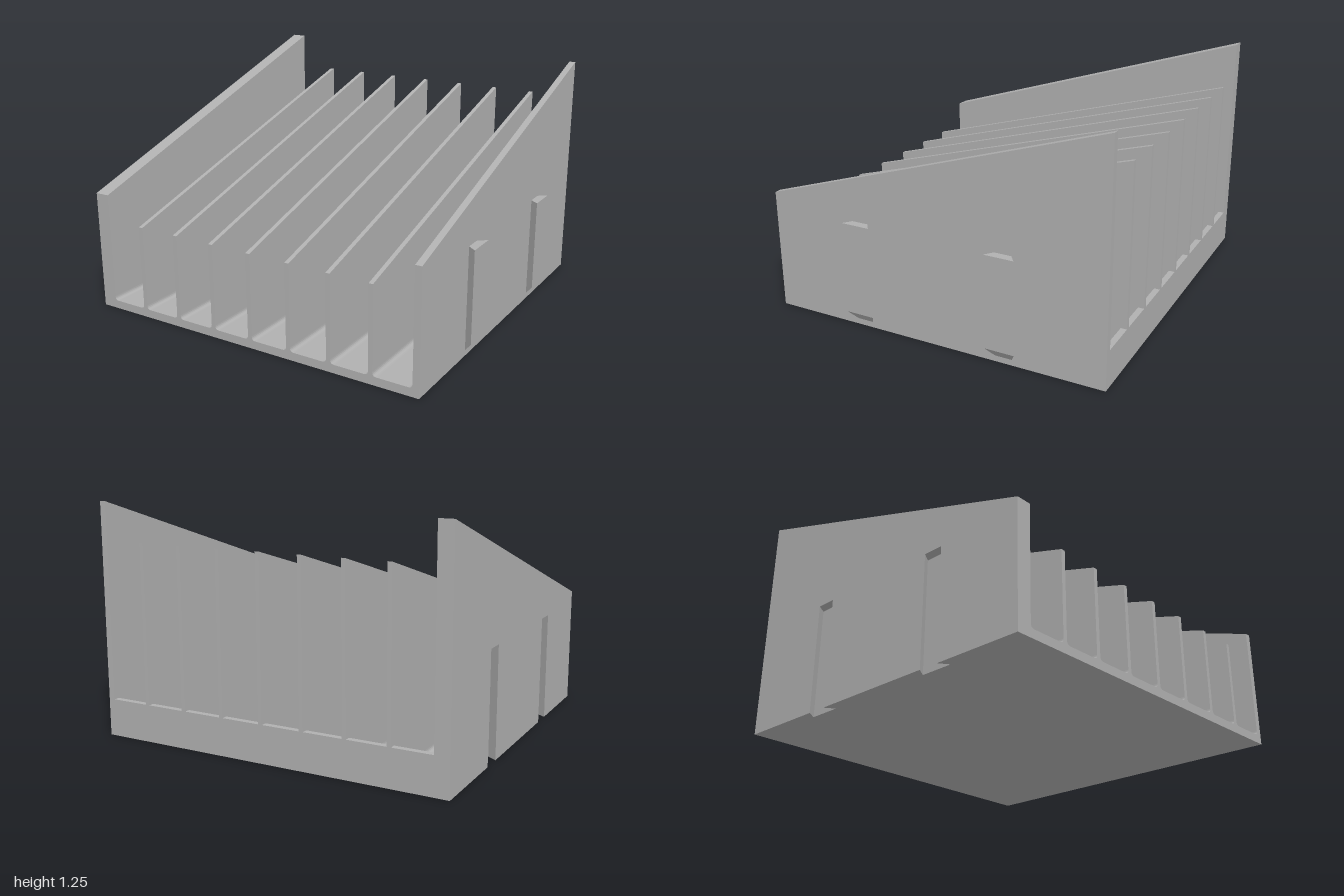
import * as THREE from 'three';
import { ConvexGeometry } from 'three/addons/geometries/ConvexGeometry.js';

const D = 0.94;          // half depth
const IN = 0.92;         // inner face of the side walls
const FLOOR = 0.045, FILLET = 0.022, HALF = 0.0115, PITCH = 0.2325;
const SLOT_TOP = 0.59, KEY_Z = 0.405;

export function createModel() {
  const model = new THREE.Group();
  model.name = 'dividedTray';
  const gray = new THREE.MeshStandardMaterial({ color: 0xb0b0b0, flatShading: true });
  gray.name = 'plain gray';

  const add = (name, geometry) => {
    const mesh = new THREE.Mesh(geometry, gray);
    mesh.name = name;
    model.add(mesh);
    return mesh;
  };
  const polygon = (pts) => new THREE.Shape(pts.map(([x, y]) => new THREE.Vector2(x, y)));
  const extrude = (shape, depth) =>
    new THREE.ExtrudeGeometry(shape, { depth, bevelEnabled: false, curveSegments: 5 });

  // Upright plate with a top that rises toward the back
  const slopedPlate = (name, x0, x1, bottom, front, back) => {
    const shape = polygon([[-D, bottom], [D, bottom], [D, front], [-D, back]]);
    add(name, extrude(shape, x1 - x0).rotateY(-Math.PI / 2).translate(x1, 0, 0));
  };

  // Floor with rounded channel corners
  const floor = new THREE.Shape();
  floor.moveTo(-IN, 0);
  floor.lineTo(IN, 0);
  for (let i = 3; i >= -4; i--) {
    const right = i === 3 ? IN : (i + 1) * PITCH - HALF;
    const left = i === -4 ? -IN : i * PITCH + HALF;
    floor.lineTo(right, FLOOR + FILLET);
    floor.quadraticCurveTo(right, FLOOR, right - FILLET, FLOOR);
    floor.lineTo(left + FILLET, FLOOR);
    floor.quadraticCurveTo(left, FLOOR, left, FLOOR + FILLET);
  }
  add('floor', extrude(floor, 2 * D).translate(0, 0, -D));

  // Low lip along the back
  add('backLip', new THREE.BoxGeometry(2 * IN, 0.2, 0.032).translate(0, 0.1, -D + 0.016));

  // Dividers
  for (let i = -3; i <= 3; i++) {
    slopedPlate('divider', i * PITCH - HALF, i * PITCH + HALF, FLOOR, 0.51, 1.05);
  }

  // Thin wall on the side with the keys
  slopedPlate('leftWall', IN, 0.955, 0, 0.65, 1.25);

  // Thick wall: lower part has two dovetail slots, upper part is plain
  const plan = [[-IN, -D], [-IN, D], [-1, D]];
  for (const z of [KEY_Z, -KEY_Z]) {
    plan.push([-1, z + 0.055], [-0.95, z + 0.09], [-0.95, z - 0.09], [-1, z - 0.055]);
  }
  plan.push([-1, -D]);
  add('rightWallSlotted', extrude(polygon(plan), SLOT_TOP).rotateX(-Math.PI / 2));
  slopedPlate('rightWallUpper', -1, -IN, SLOT_TOP, 0.65, 1.25);

  // Dovetail keys with a chamfered lower end
  for (const z of [KEY_Z, -KEY_Z]) {
    const pts = [];
    for (const s of [-1, 1]) {
      pts.push(
        new THREE.Vector3(0.954, 0.03, z + s * 0.045),
        new THREE.Vector3(0.954, 0.58, z + s * 0.045),
        new THREE.Vector3(1, 0.085, z + s * 0.08),
        new THREE.Vector3(1, 0.58, z + s * 0.08),
      );
    }
    add('dovetailKey', new ConvexGeometry(pts));
  }
  return model;
}
